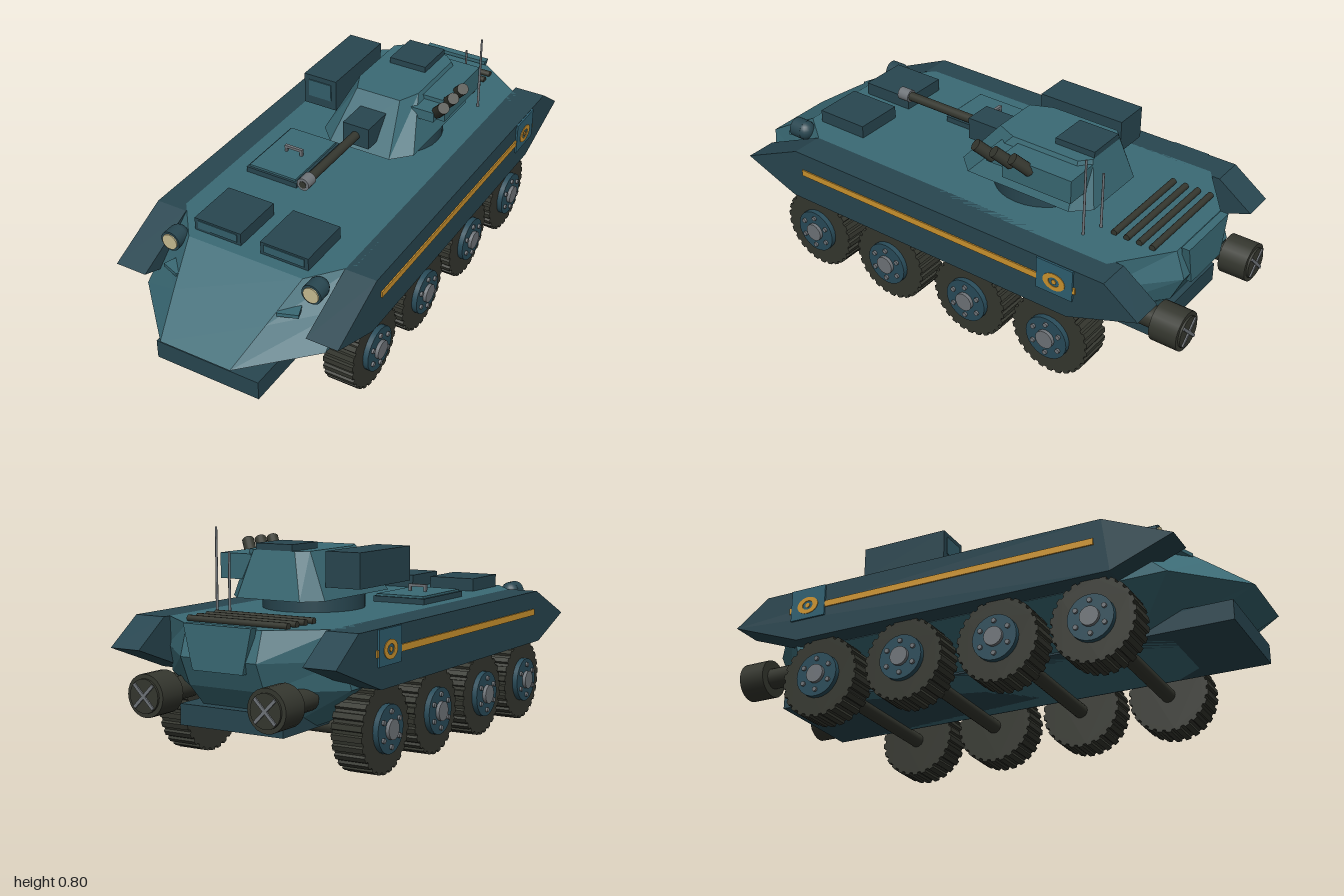
import * as THREE from 'three';

const mat = (name, color) => Object.assign(new THREE.MeshStandardMaterial({ color }), { name });

export function createModel() {
  const model = new THREE.Group();
  model.name = 'armouredVehicle';
  const hullTeal = mat('hullTeal', 0x3a6a75);
  const darkTeal = mat('darkTeal', 0x284650);
  const rubber = mat('darkOlive', 0x35372f);
  const grey = mat('steelGrey', 0x70757a);
  const amber = mat('amber', 0xd0962f);
  const cream = mat('lampCream', 0xc8bd92);
  const glass = mat('glassTeal', 0x34606c);
  const panel = mat('panelBlue', 0x2f6072);
  const rim = mat('rimBlue', 0x294c5a);

  const add = (name, geo, material, x = 0, y = 0, z = 0, parent = model) => {
    const m = new THREE.Mesh(geo, material);
    m.name = name;
    m.position.set(x, y, z);
    parent.add(m);
    return m;
  };
  // Box given by its extents
  const box = (name, material, x0, x1, y0, y1, z0, z1) =>
    add(name, new THREE.BoxGeometry(x1 - x0, y1 - y0, z1 - z0), material, (x0 + x1) / 2, (y0 + y1) / 2, (z0 + z1) / 2);
  // Cylinder lying along x or z
  const alongX = (r, len, n = 24) => new THREE.CylinderGeometry(r, r, len, n).rotateZ(-Math.PI / 2);
  const alongZ = (r, len, n = 24) => new THREE.CylinderGeometry(r, r, len, n).rotateX(Math.PI / 2);

  // Flat-faced loft through mirrored eight-point rings, bottom to top: [y, [x, z] x 4 from front to rear]
  const loft = (levels) => {
    const rings = levels.map(([y, ...half]) => [
      ...half.map(([x, z]) => [x, y, z]),
      ...half.slice().reverse().map(([x, z]) => [-x, y, z]),
    ]);
    const pos = [];
    const tri = (...p) => p.forEach((v) => pos.push(...v));
    const n = rings[0].length;
    for (let k = 0; k < rings.length - 1; k++) {
      for (let i = 0; i < n; i++) {
        const j = (i + 1) % n, lo = rings[k], hi = rings[k + 1];
        tri(lo[i], lo[j], hi[j]);
        tri(lo[i], hi[j], hi[i]);
      }
    }
    const bottom = rings[0], top = rings[rings.length - 1];
    for (let i = 1; i < n - 1; i++) {
      tri(bottom[0], bottom[i + 1], bottom[i]);
      tri(top[0], top[i], top[i + 1]);
    }
    const g = new THREE.BufferGeometry();
    g.setAttribute('position', new THREE.Float32BufferAttribute(pos, 3));
    g.computeVertexNormals();
    return g;
  };

  // Hull: wide belt with sloped nose, rear and underside
  add('hull', loft([
    [0.155, [0.13, 0.7], [0.2, 0.6], [0.2, -0.65], [0.13, -0.75]],
    [0.3, [0.14, 1.0], [0.365, 0.77], [0.365, -0.69], [0.15, -0.87]],
    [0.4, [0.185, 0.85], [0.358, 0.66], [0.358, -0.72], [0.15, -0.915]],
    [0.503, [0.23, 0.69], [0.35, 0.54], [0.35, -0.73], [0.15, -0.88]],
  ]), hullTeal);
  box('lowerHullBox', darkTeal, -0.207, 0.207, 0.155, 0.228, -0.85, 0.94);

  // Rear door: tapered plate
  const door = new THREE.Shape([[-0.1, 0.36], [0.1, 0.36], [0.135, 0.512], [-0.135, 0.512]].map((p) => new THREE.Vector2(...p)));
  add('rearDoor', new THREE.ExtrudeGeometry(door, { depth: 0.03, bevelEnabled: false }), hullTeal, 0, 0, -0.918);

  // Side sponsons with painted stripe and marker panel
  const sponson = new THREE.Shape([[0.828, 0.39], [0.575, 0.503], [-0.78, 0.503], [-0.915, 0.405], [-0.64, 0.302], [0.6, 0.302]]
    .map(([z, y]) => new THREE.Vector2(-z, y)));
  const sponsonGeo = new THREE.ExtrudeGeometry(sponson, { depth: 0.122, bevelEnabled: false }).rotateY(Math.PI / 2);
  const ring = new THREE.Shape();
  ring.absellipse(0, 0, 0.044, 0.033, 0, Math.PI * 2);
  const hole = new THREE.Path();
  hole.absellipse(0, 0, 0.022, 0.018, 0, Math.PI * 2);
  ring.holes.push(hole);
  const ringGeo = new THREE.ExtrudeGeometry(ring, { depth: 0.003, bevelEnabled: false, curveSegments: 12 }).rotateY(Math.PI / 2);
  for (const s of [1, -1]) {
    add('sponson', sponsonGeo, darkTeal, s > 0 ? 0.325 : -0.447);
    add('stripe', new THREE.BoxGeometry(0.006, 0.024, 1.22), amber, s * 0.449, 0.423, -0.065);
    add('markerPanel', new THREE.BoxGeometry(0.008, 0.122, 0.145), panel, s * 0.45, 0.44, -0.593);
    add('markerRing', ringGeo, amber, s > 0 ? 0.4535 : -0.4565, 0.43, -0.593);
    add('markerDot', alongX(0.009, 0.004, 12), amber, s * 0.455, 0.43, -0.593);
  }

  // Wheels: lugged tyre, rim disc, hub and bolts
  const tread = [];
  const lugs = 26;
  for (let i = 0; i < lugs; i++) {
    [[0, 0.147], [0.3, 0.147], [0.4, 0.156], [0.9, 0.156]].forEach(([t, r]) => {
      const a = ((i + t) / lugs) * Math.PI * 2;
      tread.push(new THREE.Vector2(Math.cos(a) * r, Math.sin(a) * r));
    });
  }
  const tyreGeo = new THREE.ExtrudeGeometry(new THREE.Shape(tread), { depth: 0.116, bevelEnabled: false })
    .translate(0, 0, -0.058).rotateY(Math.PI / 2);
  for (const z of [0.52, 0.166, -0.203, -0.552]) {
    add('axle', alongX(0.028, 0.7, 16), rubber, 0, 0.144, z);
    for (const s of [1, -1]) {
      const wheel = new THREE.Group();
      wheel.name = 'wheel';
      wheel.position.set(s * 0.354, 0.156, z);
      model.add(wheel);
      add('tyre', tyreGeo, rubber, 0, 0, 0, wheel);
      add('rim', alongX(0.084, 0.02), rim, s * 0.068, 0, 0, wheel);
      add('hub', alongX(0.035, 0.03, 16), grey, s * 0.076, 0, 0, wheel);
      for (let i = 0; i < 6; i++) {
        const a = (i / 6) * Math.PI * 2 + Math.PI / 6;
        add('wheelBolt', alongX(0.009, 0.012, 8), grey, s * 0.08, Math.sin(a) * 0.06, Math.cos(a) * 0.06, wheel);
      }
    }
  }

  for (const s of [1, -1]) {
    // Headlights on the nose shoulders
    add('headlightHousing', alongZ(0.038, 0.05), darkTeal, s * 0.285, 0.482, 0.7);
    add('headlightBack', new THREE.SphereGeometry(0.038, 20, 12), darkTeal, s * 0.285, 0.482, 0.68);
    add('headlightLens', alongZ(0.03, 0.006), cream, s * 0.285, 0.482, 0.727);
    // Wedge brackets beside the headlights
    const bracket = add('headlightBracket', new THREE.BoxGeometry(0.075, 0.014, 0.09), hullTeal, s * 0.222, 0.425, 0.755);
    bracket.rotation.y = s * 0.35;
    // Exhaust drums with crossed guards
    add('exhaust', alongZ(0.073, 0.105), rubber, s * 0.24, 0.272, -0.935);
    add('exhaustPipe', alongZ(0.04, 0.14, 16), rubber, s * 0.24, 0.272, -0.82);
    add('exhaustCap', alongZ(0.058, 0.008), rubber, s * 0.24, 0.272, -0.991);
    for (const t of [1, -1]) {
      const bar = add('exhaustGuard', new THREE.BoxGeometry(0.11, 0.011, 0.006), grey, s * 0.24, 0.272, -0.997);
      bar.rotation.z = t * Math.PI / 4;
    }
  }

  // Crew hatches with front vision windows
  for (const [x0, x1] of [[-0.235, -0.045], [0.035, 0.225]]) {
    box('crewHatch', darkTeal, x0, x1, 0.5, 0.552, 0.437, 0.645);
    box('visionWindow', glass, x0 + 0.015, x1 - 0.015, 0.514, 0.545, 0.643, 0.648);
  }
  // Deck hatch with handle
  box('deckHatchFrame', darkTeal, -0.277, -0.063, 0.5, 0.524, -0.042, 0.262);
  box('deckHatch', hullTeal, -0.268, -0.072, 0.51, 0.532, -0.033, 0.253);
  box('hatchHandle', grey, -0.205, -0.13, 0.549, 0.559, 0.104, 0.116);
  for (const x of [-0.2, -0.135]) box('handlePost', grey, x - 0.005, x + 0.005, 0.53, 0.55, 0.105, 0.115);
  // Engine louvres
  for (const z of [-0.81, -0.76, -0.71, -0.66]) add('engineLouvre', alongX(0.012, 0.4, 10), rubber, -0.004, 0.511, z);

  // Turret, offset to the left of the hull
  const tx = 0.047;
  add('turretRing', new THREE.CylinderGeometry(0.185, 0.185, 0.06, 32), darkTeal, tx, 0.53, -0.275);
  add('turret', loft([
    [0.555, [0.125, 0.0], [0.19, -0.07], [0.19, -0.5], [0.13, -0.565]],
    [0.722, [0.09, -0.14], [0.125, -0.22], [0.125, -0.49], [0.085, -0.525]],
  ]), hullTeal, tx);
  box('turretHatch', darkTeal, -0.028, 0.123, 0.715, 0.745, -0.525, -0.365);
  box('mantlet', darkTeal, -0.006, 0.102, 0.592, 0.676, -0.13, 0.028);
  add('gunBarrel', alongZ(0.017, 0.34, 20), rubber, tx, 0.635, 0.19);
  add('muzzle', alongZ(0.024, 0.048, 20), grey, tx, 0.635, 0.366);
  add('muzzleBore', alongZ(0.014, 0.004, 16), rubber, tx, 0.635, 0.39);

  // Sight box on the right of the turret
  box('sightBox', darkTeal, -0.267, -0.13, 0.6, 0.724, -0.475, -0.13);
  box('sightWindow', glass, -0.246, -0.15, 0.636, 0.704, -0.132, -0.126);

  // Smoke launchers and their mount on the left
  box('launcherMount', hullTeal, 0.14, 0.271, 0.616, 0.706, -0.53, -0.245);
  box('launcherRail', hullTeal, 0.16, 0.262, 0.65, 0.69, -0.36, -0.17);
  const aim = new THREE.Vector3(0.05, 0.06, 0.045).normalize();
  for (const z of [-0.335, -0.257, -0.18]) {
    const tube = add('smokeLauncher', new THREE.CylinderGeometry(0.022, 0.022, 0.085, 16), rubber, 0.284, 0.705, z);
    tube.quaternion.setFromUnitVectors(new THREE.Vector3(0, 1, 0), aim);
  }

  // Whip antennas
  for (const [x, z, top] of [[0.255, -0.575, 0.8], [0.182, -0.6, 0.72]]) {
    add('antenna', new THREE.CylinderGeometry(0.004, 0.005, top - 0.5, 8), grey, x, (top + 0.5) / 2, z);
  }
  return model;
}
